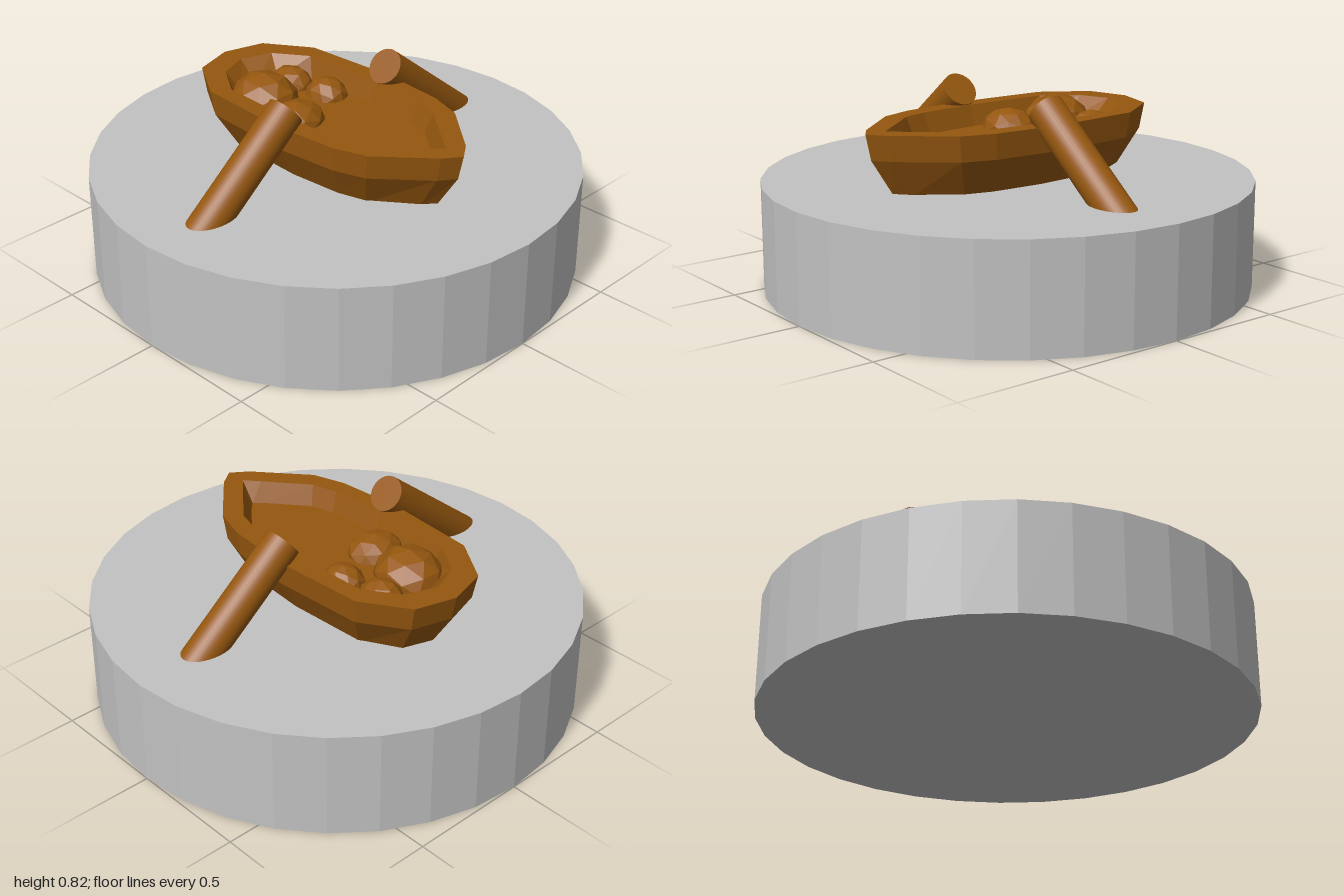
import * as THREE from 'three';

const BASE_TOP = 0.445;
const MID_Z = 0.01;

// Full closed ring from a half outline of [x, halfWidth], stern to bow
function ring(half, y, sx = 1, sz = 1) {
  const port = half.map(([x, z]) => [x * sx, y, MID_Z + z * sz]);
  const starboard = half.slice(1, -1).reverse().map(([x, z]) => [x * sx, y, MID_Z - z * sz]);
  return [...port, ...starboard];
}

// Skin a stack of rings, closing both ends with fans
function skin(rings) {
  const pos = [];
  const tri = (...pts) => pts.forEach((p) => pos.push(...p));
  const n = rings[0].length;
  const first = rings[0], last = rings[rings.length - 1];
  for (let i = 0; i < n; i++) {
    const j = (i + 1) % n;
    for (let r = 0; r < rings.length - 1; r++) {
      const a = rings[r], b = rings[r + 1];
      tri(a[i], a[j], b[j]);
      tri(a[i], b[j], b[i]);
    }
    tri(first[j], first[i], [0, first[0][1], MID_Z]);
    tri(last[i], last[j], [0, last[0][1], MID_Z]);
  }
  const geo = new THREE.BufferGeometry();
  geo.setAttribute('position', new THREE.Float32BufferAttribute(pos, 3));
  geo.computeVertexNormals();
  return geo;
}

export function createModel() {
  const group = new THREE.Group();
  const grey = new THREE.MeshStandardMaterial({ color: 0xc2c2c2 });
  grey.name = 'stone grey';
  const brown = new THREE.MeshStandardMaterial({ color: 0x95570f });
  brown.name = 'wood brown';
  const add = (name, geo, mat) => {
    const mesh = new THREE.Mesh(geo, mat);
    mesh.name = name;
    group.add(mesh);
    return mesh;
  };

  // Faceted round base
  const baseGeo = new THREE.CylinderGeometry(1, 1, BASE_TOP, 32).toNonIndexed();
  baseGeo.computeVertexNormals();
  add('base', baseGeo, grey).position.y = BASE_TOP / 2;

  // Boat hull: flared outside, flat rim, sunken floor
  const outer = [[-0.65, 0], [-0.6, 0.172], [-0.41, 0.295], [0, 0.32], [0.28, 0.295], [0.42, 0.25], [0.63, 0.07], [0.68, 0]];
  const inner = [[-0.55, 0], [-0.5, 0.13], [-0.36, 0.225], [0, 0.24], [0.25, 0.22], [0.36, 0.19], [0.53, 0.05], [0.59, 0]];
  const floor = [[-0.46, 0], [-0.43, 0.1], [-0.33, 0.2], [0, 0.212], [0.24, 0.193], [0.34, 0.165], [0.49, 0.04], [0.53, 0]];
  add('hull', skin([
    ring(outer, BASE_TOP - 0.015, 0.81, 0.69),
    ring(outer, 0.59, 0.965, 0.965),
    ring(outer, 0.695),
    ring(inner, 0.695),
    ring(floor, 0.61),
  ]), brown);

  // Leaning oars, one on each side
  for (const side of [1, -1]) {
    const top = new THREE.Vector3(0.02, 0.757, 0.015 + side * 0.28);
    const dir = new THREE.Vector3(0, -0.622, side * 0.783);
    const oar = add(side > 0 ? 'frontOar' : 'backOar', new THREE.CylinderGeometry(0.075, 0.075, 0.64, 32), brown);
    oar.position.copy(top).addScaledVector(dir, 0.32);
    oar.quaternion.setFromUnitVectors(new THREE.Vector3(0, 1, 0), dir.clone().negate());
  }

  // Faceted lumps of cargo: x, y, z, then radii
  const cargo = [
    [-0.325, 0.605, 0.085, 0.15, 0.125, 0.14],
    [-0.36, 0.6, -0.1, 0.1, 0.085, 0.085],
    [-0.18, 0.6, -0.13, 0.095, 0.085, 0.085],
    [-0.1, 0.6, 0.12, 0.108, 0.09, 0.125],
  ];
  cargo.forEach(([x, y, z, rx, ry, rz], i) => {
    const geo = new THREE.IcosahedronGeometry(1, 1).rotateY(i * 0.8).scale(rx, ry, rz);
    geo.computeVertexNormals();
    add(`cargo${i + 1}`, geo, brown).position.set(x, y, z);
  });

  return group;
}
